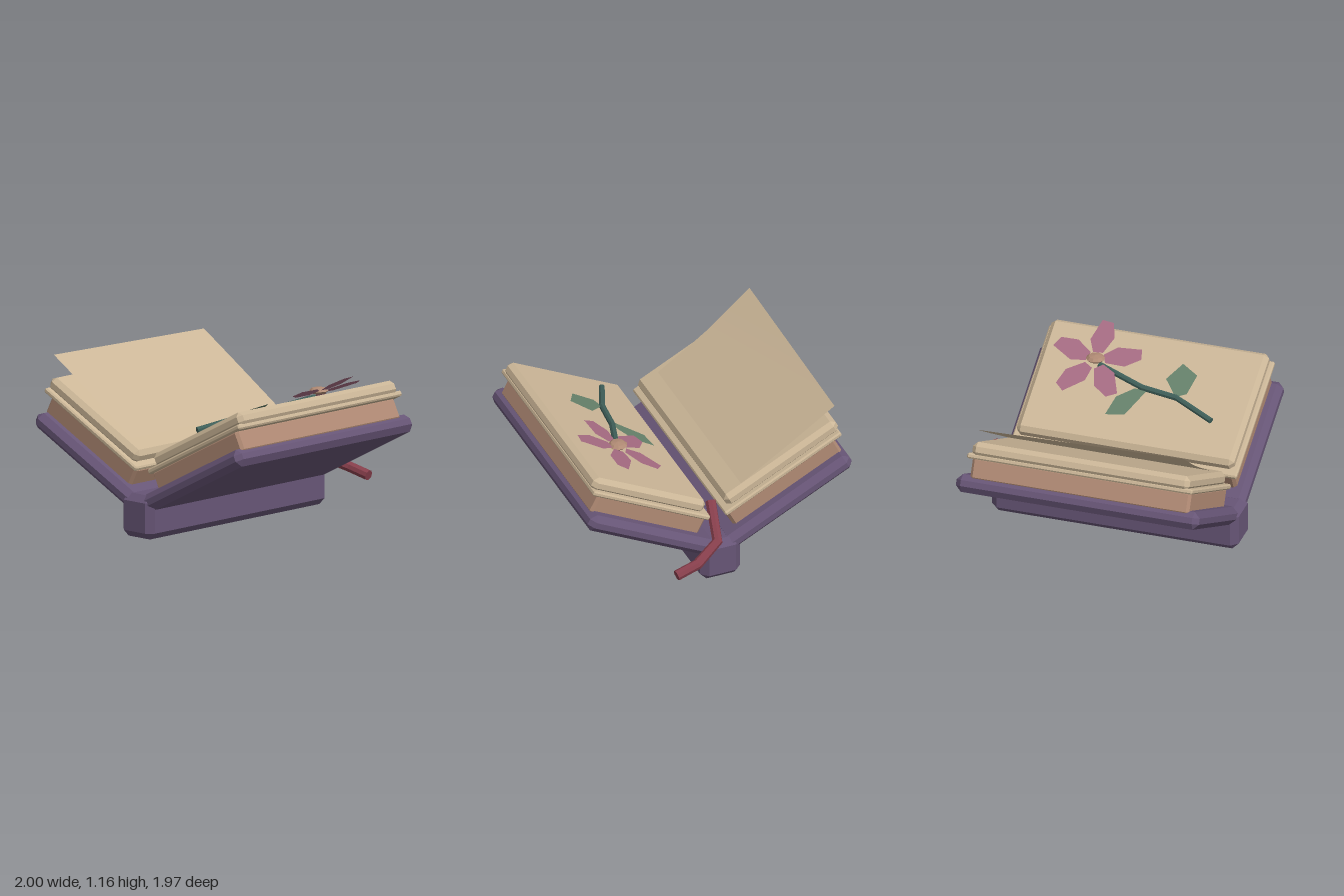
import * as THREE from 'three';
import { mergeGeometries } from 'three/addons/utils/BufferGeometryUtils.js';
import { ConvexGeometry } from 'three/addons/geometries/ConvexGeometry.js';

const TILT = THREE.MathUtils.degToRad(27);
const COS = Math.cos(TILT), SIN = Math.sin(TILT);

const material = (name, color, side = THREE.FrontSide) => {
  const m = new THREE.MeshStandardMaterial({ color, side });
  m.name = name;
  return m;
};

const add = (parent, name, geometry, mat) => {
  const mesh = new THREE.Mesh(geometry, mat);
  mesh.name = name;
  parent.add(mesh);
  return mesh;
};

// Box with every edge cut by c, given as [min, max] per axis
function chamferBox([x0, x1], [y0, y1], [z0, z1], c) {
  const h = [(x1 - x0) / 2, (y1 - y0) / 2, (z1 - z0) / 2];
  const points = [];
  for (const sx of [-1, 1]) for (const sy of [-1, 1]) for (const sz of [-1, 1])
    for (let full = 0; full < 3; full++) {
      const p = h.map((v, i) => (i === full ? v : v - c));
      points.push(new THREE.Vector3(sx * p[0], sy * p[1], sz * p[2]));
    }
  return new ConvexGeometry(points).translate((x0 + x1) / 2, (y0 + y1) / 2, (z0 + z1) / 2);
}

// Path whose tube rings sit exactly on the given points
class Polyline extends THREE.Curve {
  constructor(points) {
    super();
    this.points = points.map(p => new THREE.Vector3(...p));
  }
  getPoint(t, target = new THREE.Vector3()) {
    const n = this.points.length - 1;
    const i = Math.min(Math.floor(t * n), n - 1);
    return target.lerpVectors(this.points[i], this.points[i + 1], t * n - i);
  }
  getPointAt(u, target) { return this.getPoint(u, target); }
  getTangentAt(u, target) { return this.getTangent(u, target); }
}

// Faceted rod with closed ends
function rod(points, radius, sides = 8) {
  const curve = new Polyline(points);
  const parts = [new THREE.TubeGeometry(curve, points.length - 1, radius, sides, false)];
  for (const t of [0, 1]) {
    const dir = curve.getTangent(t).multiplyScalar(t ? 1 : -1);
    const q = new THREE.Quaternion().setFromUnitVectors(new THREE.Vector3(0, 0, 1), dir);
    const end = curve.getPoint(t);
    parts.push(new THREE.CircleGeometry(radius, sides).applyQuaternion(q).translate(end.x, end.y, end.z));
  }
  const g = mergeGeometries(parts).toNonIndexed();
  g.computeVertexNormals();
  return g;
}

// Flat outline lying in the x-z plane
const flat = pts => new THREE.ShapeGeometry(
  new THREE.Shape(pts.map(([x, z]) => new THREE.Vector2(x, -z)))).rotateX(-Math.PI / 2);

export function createModel() {
  const model = new THREE.Group();
  model.name = 'openBook';

  const cover = material('purple cover', 0x675576);
  const paper = material('cream paper', 0xcbb697);
  const block = material('brown page edges', 0xb08a74);
  const sheetPaper = material('cream sheet', 0xcbb697, THREE.DoubleSide);
  const ribbon = material('red ribbon', 0x873f4c);
  const stemGreen = material('dark green stem', 0x3f5f59);
  const leafGreen = material('green leaf', 0x65806a, THREE.DoubleSide);
  const petalPink = material('pink petal', 0xa56b82, THREE.DoubleSide);

  // Spine
  add(model, 'spine', chamferBox([-0.15, 0.15], [0, 0.31], [-0.82, 0.985], 0.048), cover);

  // Two tilted halves: cover board, page block, thin projecting layer, top pages
  const halves = {};
  for (const s of [1, -1]) {
    const half = new THREE.Group();
    half.name = s > 0 ? 'leftHalf' : 'rightHalf';
    half.rotation.z = s * TILT;
    const span = (a, b) => (s > 0 ? [a, b] : [-b, -a]);
    add(half, 'coverBoard', chamferBox(span(0.15, 1.207), [0.125, 0.252], [-0.807, 0.972], 0.042), cover);
    add(half, 'pageBlock', chamferBox(span(0.275, 1.19), [0.22, 0.385], [-0.71, 0.892], 0.02), block);
    add(half, 'pageLayer', chamferBox(span(0.265, 1.25), [0.372, 0.41], [-0.735, 0.915], 0.01), paper);
    add(half, 'topPages', chamferBox(span(0.315, 1.264), [0.39, 0.495], [-0.705, 0.886], 0.032), paper);
    model.add(half);
    halves[s] = half;
  }

  // Lifted loose page: cross-sections from the hinge to the free edge
  // each row: x, back y, front y, back z, front z
  const rows = [
    [-0.2, 0.66, 0.66, -0.675, 0.805],
    [-0.44, 0.815, 0.82, -0.675, 0.805],
    [-0.58, 0.905, 0.917, -0.675, 0.808],
    [-0.91, 1.12, 1.157, -0.668, 0.845],
  ];
  const sheet = new THREE.PlaneGeometry(1, 1, 1, rows.length - 1);
  rows.forEach(([x, yb, yf, zb, zf], i) => {
    sheet.attributes.position.setXYZ(i * 2, x, yb, zb);
    sheet.attributes.position.setXYZ(i * 2 + 1, x, yf, zf);
  });
  sheet.computeVertexNormals();
  add(model, 'loosePage', sheet, sheetPaper);

  // Pressed flower floating just above the page, in the tilted frame
  const flower = new THREE.Group();
  flower.name = 'flower';
  halves[1].add(flower);
  const stemV = 0.548, petalV = 0.572;
  const along = (x, v) => (x + v * SIN) / COS;

  const stemPath = [[0.288, 0.655], [0.412, 0.36], [0.445, 0.1], [0.56, -0.25]];
  add(flower, 'stem', rod(stemPath.map(([x, z]) => [along(x, stemV), stemV, z]), 0.022), stemGreen);

  const leaves = [
    [[0.21, -0.096], [0.35, -0.06], [0.43, 0.05], [0.427, 0.14], [0.23, 0.04]],
    [[0.415, 0.353], [0.535, 0.246], [0.663, 0.33], [0.595, 0.455], [0.45, 0.425]],
  ];
  for (const pts of leaves)
    add(flower, 'leaf', flat(pts.map(([x, z]) => [along(x, stemV), z])), leafGreen).position.y = stemV;

  const petal = [[0.06, -0.036], [0.16, -0.083], [0.33, -0.042], [0.32, 0.042], [0.2, 0.083], [0.065, 0.036]];
  for (let i = 0; i < 5; i++) {
    const mesh = add(flower, 'petal', flat(petal), petalPink);
    mesh.position.set(along(0.565, petalV), petalV, -0.28);
    mesh.rotation.y = i * Math.PI * 2 / 5;
  }

  // Flower centre, level rather than tilted
  const centre = new THREE.SphereGeometry(0.068, 10, 4).scale(1, 0.38, 1).toNonIndexed();
  centre.computeVertexNormals();
  add(model, 'flowerCentre', centre, block).position.set(0.565, 0.945, -0.28);

  // Bookmark ribbon trailing over the back of the spine
  add(model, 'bookmark', rod([
    [0, 0.52, -0.605], [0.045, 0.335, -0.83], [0.24, 0.26, -0.935], [0.405, 0.22, -0.952],
  ], 0.038), ribbon);

  return model;
}
